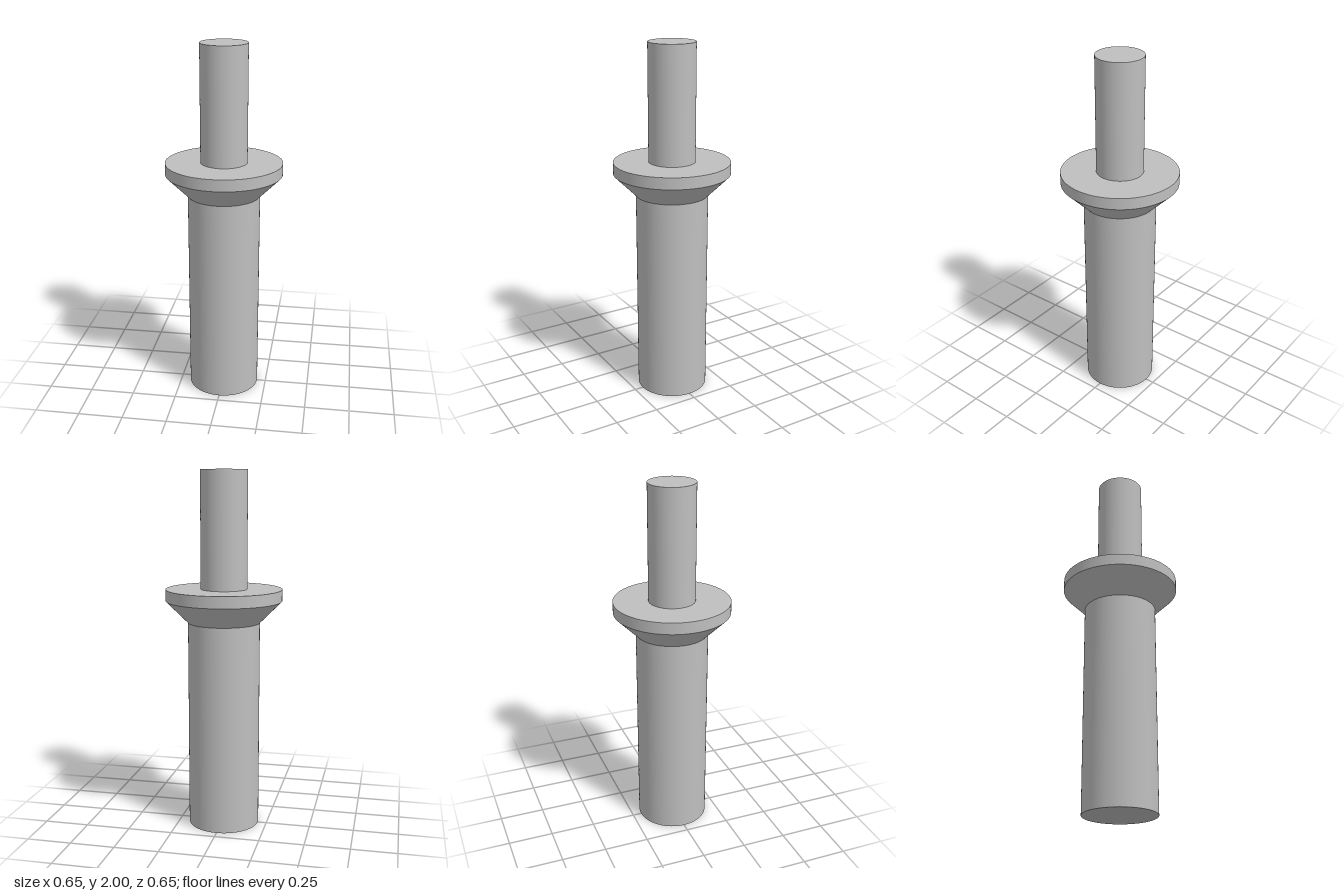
import * as THREE from 'three';

const SIDES = 96;

export function createModel() {
  const model = new THREE.Group();
  model.name = 'flangedPin';
  const metal = new THREE.MeshStandardMaterial({ color: 0xbfbfbf });
  metal.name = 'plain grey metal';

  // Each part is a stack of [radius, height] rings; separate bands keep the rims sharp
  const turned = (name, rings) => {
    const part = new THREE.Group();
    part.name = name;
    for (let i = 0; i < rings.length - 1; i++) {
      const points = [rings[i], rings[i + 1]].map(([r, y]) => new THREE.Vector2(r, y));
      const band = new THREE.Mesh(new THREE.LatheGeometry(points, SIDES), metal);
      band.name = `${name}Face${i + 1}`;
      part.add(band);
    }
    model.add(part);
  };

  // Thick lower shaft with its flat base
  turned('lowerShaft', [[0, 0], [0.2, 0], [0.2, 1.168]]);
  // Collar: conical underside, short straight rim, flat shoulder
  turned('collar', [[0.2, 1.168], [0.3226, 1.2903], [0.3226, 1.3548], [0.129, 1.3548]]);
  // Slim upper pin with its flat end
  turned('upperPin', [[0.129, 1.3548], [0.129, 2], [0, 2]]);

  return model;
}
